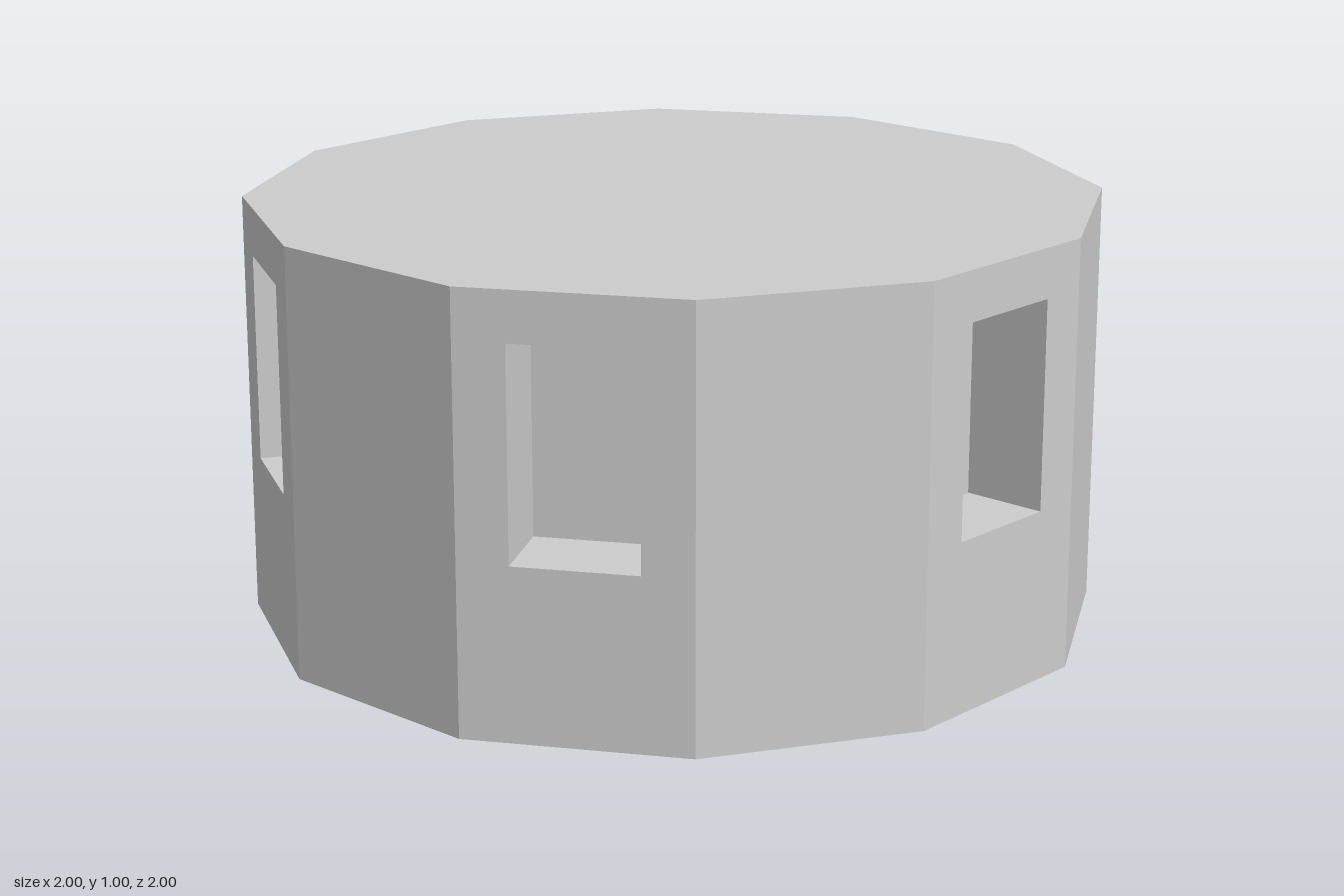
import * as THREE from 'three';

const SIDES = 12, HEIGHT = 1, RADIUS = 1;
const APOTHEM = RADIUS * Math.cos(Math.PI / SIDES);
const CHORD = 2 * RADIUS * Math.sin(Math.PI / SIDES);
const WINDOW = { width: 0.285, bottom: 0.4, top: 0.885, depth: 0.2 };

const material = new THREE.MeshStandardMaterial({ color: 0xcccccc, flatShading: true });

function mesh(name, geometry) {
  const m = new THREE.Mesh(geometry, material);
  m.name = name;
  return m;
}

// Counter-clockwise rectangle centred on x = 0
function rectangle(PathType, width, y0, y1) {
  const w = width / 2;
  return new PathType([[-w, y0], [w, y0], [w, y1], [-w, y1]].map(([x, y]) => new THREE.Vector2(x, y)));
}

// Flat wall facing +z, optionally with a window opening
function wallGeometry(withWindow) {
  const shape = rectangle(THREE.Shape, CHORD, 0, HEIGHT);
  if (withWindow) shape.holes.push(rectangle(THREE.Path, WINDOW.width, WINDOW.bottom, WINDOW.top));
  return new THREE.ShapeGeometry(shape).translate(0, 0, APOTHEM);
}

// Inward-facing box without its front side
function recessGeometry() {
  const { width, bottom, top, depth } = WINDOW;
  const g = new THREE.BoxGeometry(width, top - bottom, depth);
  const index = Array.from(g.index.array);
  index.splice(24, 6); // remove the front side
  g.setIndex(index.reverse()); // turn the faces inwards
  g.clearGroups();
  g.computeVertexNormals();
  return g.translate(0, (bottom + top) / 2, APOTHEM - depth / 2);
}

export function createModel() {
  const model = new THREE.Group();
  model.name = 'twelveSidedTower';

  const plainWall = wallGeometry(false);
  const windowWall = wallGeometry(true);
  const recess = recessGeometry();

  // Ring of walls, every second one with a recessed window
  for (let i = 0; i < SIDES; i++) {
    const side = new THREE.Group();
    const hasWindow = i % 2 === 0;
    side.name = hasWindow ? 'windowSide' : 'plainSide';
    side.add(mesh('wall', hasWindow ? windowWall : plainWall));
    if (hasWindow) side.add(mesh('windowRecess', recess));
    side.rotation.y = ((i + 0.5) / SIDES) * Math.PI * 2;
    model.add(side);
  }

  // Roof and base
  const roof = mesh('roof', new THREE.CircleGeometry(RADIUS, SIDES).rotateX(-Math.PI / 2));
  roof.position.y = HEIGHT;
  const base = mesh('base', new THREE.CircleGeometry(RADIUS, SIDES).rotateX(Math.PI / 2));
  model.add(roof, base);

  return model;
}
